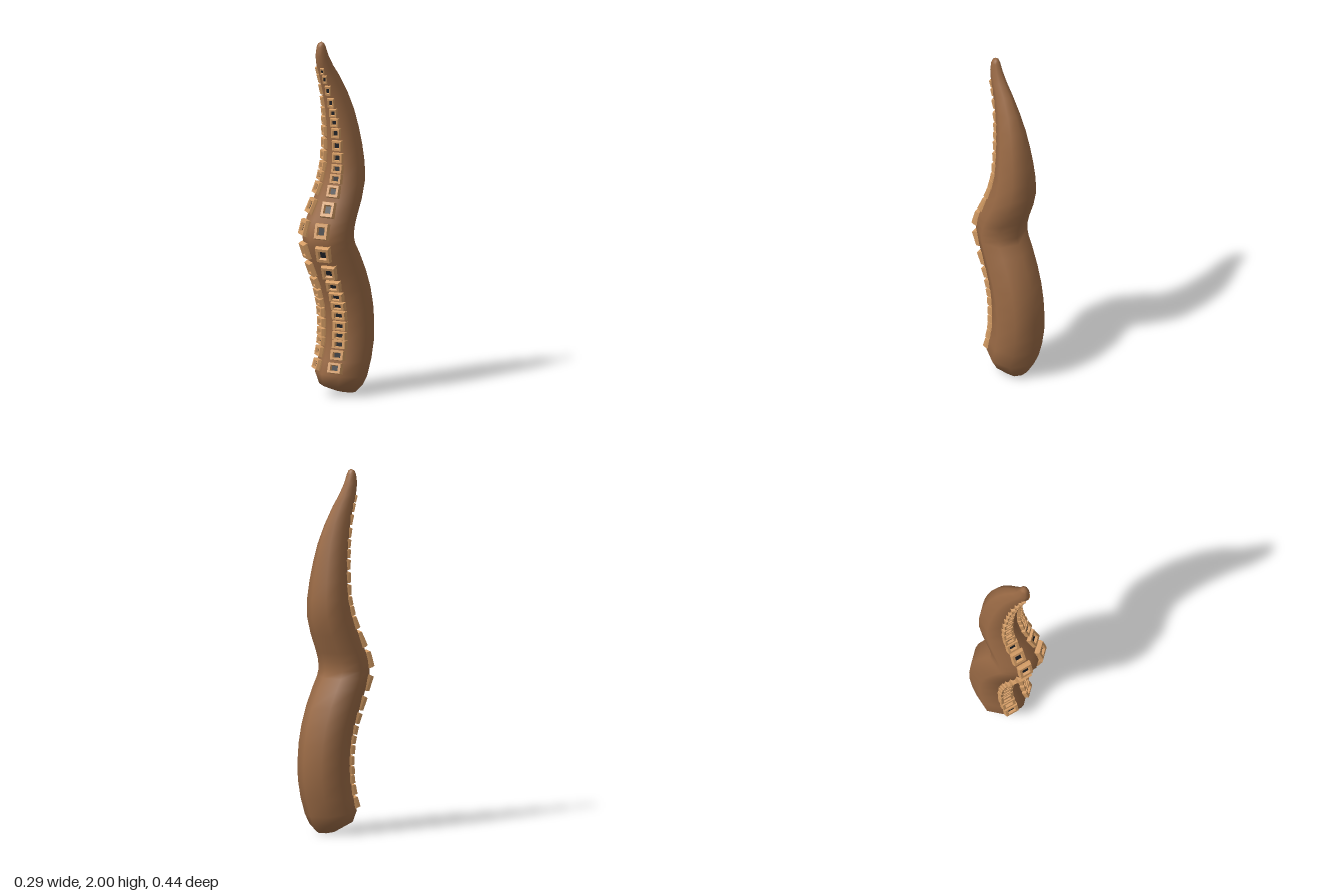
import * as THREE from 'three';

const SIDES = 8;

// Cross-sections from base to tip: [yFront, yBack, zFront, zBack, halfWidth]
const level = (y, zf, zb, w) => [y, y, zf, zb, w];
const SECTIONS = [
  [0.012, 0.012, -0.05, -0.05, 0],
  [0.02, 0.005, 0.0, -0.11, 0.06],
  [0.062, 0.05, 0.1, -0.155, 0.11],
  [0.13, 0.1, 0.115, -0.172, 0.143],
  level(0.2, 0.092, -0.203, 0.145),
  level(0.3, 0.07, -0.22, 0.146),
  level(0.4, 0.066, -0.222, 0.146),
  level(0.5, 0.074, -0.214, 0.146),
  level(0.6, 0.1, -0.195, 0.146),
  level(0.7, 0.14, -0.163, 0.146),
  level(0.8, 0.18, -0.117, 0.146),
  level(0.86, 0.2, -0.083, 0.145),
  level(0.9, 0.204, -0.071, 0.144),
  level(0.95, 0.196, -0.077, 0.142),
  level(1.0, 0.175, -0.092, 0.14),
  level(1.1, 0.128, -0.134, 0.133),
  level(1.2, 0.087, -0.162, 0.125),
  level(1.3, 0.063, -0.162, 0.115),
  level(1.4, 0.06, -0.149, 0.104),
  level(1.5, 0.066, -0.13, 0.09),
  level(1.6, 0.078, -0.104, 0.075),
  level(1.7, 0.098, -0.064, 0.058),
  level(1.8, 0.126, -0.009, 0.043),
  level(1.86, 0.145, 0.035, 0.036),
  level(1.92, 0.153, 0.07, 0.029),
  level(1.97, 0.145, 0.09, 0.023),
  level(1.99, 0.135, 0.1, 0.016),
  level(2.0, 0.115, 0.115, 0),
];

// Point on a cross-section; angle 0 is the front ridge, positive towards +x
function ringPoint([yf, yb, zf, zb, w], angle) {
  const c = Math.cos(angle);
  return new THREE.Vector3(
    w * Math.sin(angle),
    (yf + yb) / 2 + c * (yf - yb) / 2,
    (zf + zb) / 2 + c * (zf - zb) / 2
  );
}

// Cross-section interpolated at a height
function sectionAt(y) {
  let i = 1;
  while (i < SECTIONS.length - 2 && SECTIONS[i + 1][0] < y) i++;
  const a = SECTIONS[i], b = SECTIONS[i + 1];
  const t = (y - a[0]) / (b[0] - a[0]);
  return a.map((v, k) => v + (b[k] - v) * t);
}

// Smooth eight-sided skin lofted through the cross-sections
function bodyGeometry() {
  const positions = [], index = [];
  SECTIONS.forEach((section, r) => {
    for (let s = 0; s < SIDES; s++) {
      positions.push(...ringPoint(section, (s / SIDES) * Math.PI * 2).toArray());
      if (r === SECTIONS.length - 1) continue;
      const n = (s + 1) % SIDES;
      const a = r * SIDES + s, b = r * SIDES + n;
      const c = a + SIDES, d = b + SIDES;
      if (r > 0) index.push(a, b, d);
      if (r < SECTIONS.length - 2) index.push(a, d, c);
      else if (r === 0) index.push(a, d, c);
    }
  });
  const geometry = new THREE.BufferGeometry();
  geometry.setAttribute('position', new THREE.Float32BufferAttribute(positions, 3));
  geometry.setIndex(index);
  geometry.computeVertexNormals();
  // The coincident pole vertices get a shared vertical normal
  const normals = geometry.attributes.normal;
  for (let s = 0; s < SIDES; s++) {
    normals.setXYZ(s, 0, -1, 0);
    normals.setXYZ((SECTIONS.length - 1) * SIDES + s, 0, 1, 0);
  }
  return geometry;
}

// Square rim, one unit wide, opening towards +z
function rimGeometry() {
  const profile = [[0.5, -0.5], [0.5, 0.3], [0.46, 1], [0.28, 1], [0.22, 0.35]];
  const k = Math.SQRT2;
  return new THREE.LatheGeometry(profile.map(([r, h]) => new THREE.Vector2(r * k, h)), 4)
    .rotateY(Math.PI / 4)
    .rotateX(Math.PI / 2);
}

export function createModel() {
  const model = new THREE.Group();
  const skin = new THREE.MeshStandardMaterial({ color: 0x9a6a45 });
  const rimMaterial = new THREE.MeshStandardMaterial({ color: 0xd49c64, flatShading: true });
  const dark = new THREE.MeshStandardMaterial({ color: 0x1e2026 });

  const body = new THREE.Mesh(bodyGeometry(), skin);
  body.name = 'tentacleBody';
  model.add(body);

  // Two columns of square suckers on the front faces
  const heights = [
    0.17, 0.24, 0.3, 0.35, 0.405, 0.465, 0.52, 0.573, 0.637, 0.717, 0.825, 0.95, 1.063,
    1.16, 1.228, 1.283, 1.345, 1.413, 1.483, 1.543, 1.597, 1.655, 1.725, 1.79, 1.837,
  ];
  const rim = rimGeometry();
  const floor = new THREE.PlaneGeometry(0.46, 0.46).translate(0, 0, 0.38);
  const suckers = new THREE.Group();
  suckers.name = 'suckers';
  model.add(suckers);

  for (const side of [-1, 1]) {
    const facePoint = (y, t) => {
      const section = sectionAt(y);
      return ringPoint(section, 0).lerp(ringPoint(section, side * Math.PI / 4), t);
    };
    heights.forEach((y, i) => {
      const before = heights[Math.max(i - 1, 0)];
      const after = heights[Math.min(i + 1, heights.length - 1)];
      const gap = (after - before) / (i === 0 || i === heights.length - 1 ? 1 : 2);
      const width = 0.57 * sectionAt(y)[4];

      // Axes of the face the sucker sits on
      const across = facePoint(y, 1).sub(facePoint(y, 0)).multiplyScalar(side).normalize();
      const along = facePoint(y + 0.03, 0.68).sub(facePoint(y - 0.03, 0.68));
      const out = across.clone().cross(along).normalize();
      along.copy(out).cross(across);

      const sucker = new THREE.Group();
      sucker.name = side > 0 ? 'leftSucker' : 'rightSucker';
      const rimMesh = new THREE.Mesh(rim, rimMaterial);
      rimMesh.name = 'suckerRim';
      const floorMesh = new THREE.Mesh(floor, dark);
      floorMesh.name = 'suckerHollow';
      sucker.add(rimMesh, floorMesh);
      sucker.quaternion.setFromRotationMatrix(new THREE.Matrix4().makeBasis(across, along, out));
      sucker.position.copy(facePoint(y, 0.68));
      sucker.scale.set(width, Math.min(gap * 0.85, 0.09), 0.006 + width * 0.22);
      suckers.add(sucker);
    });
  }
  return model;
}
